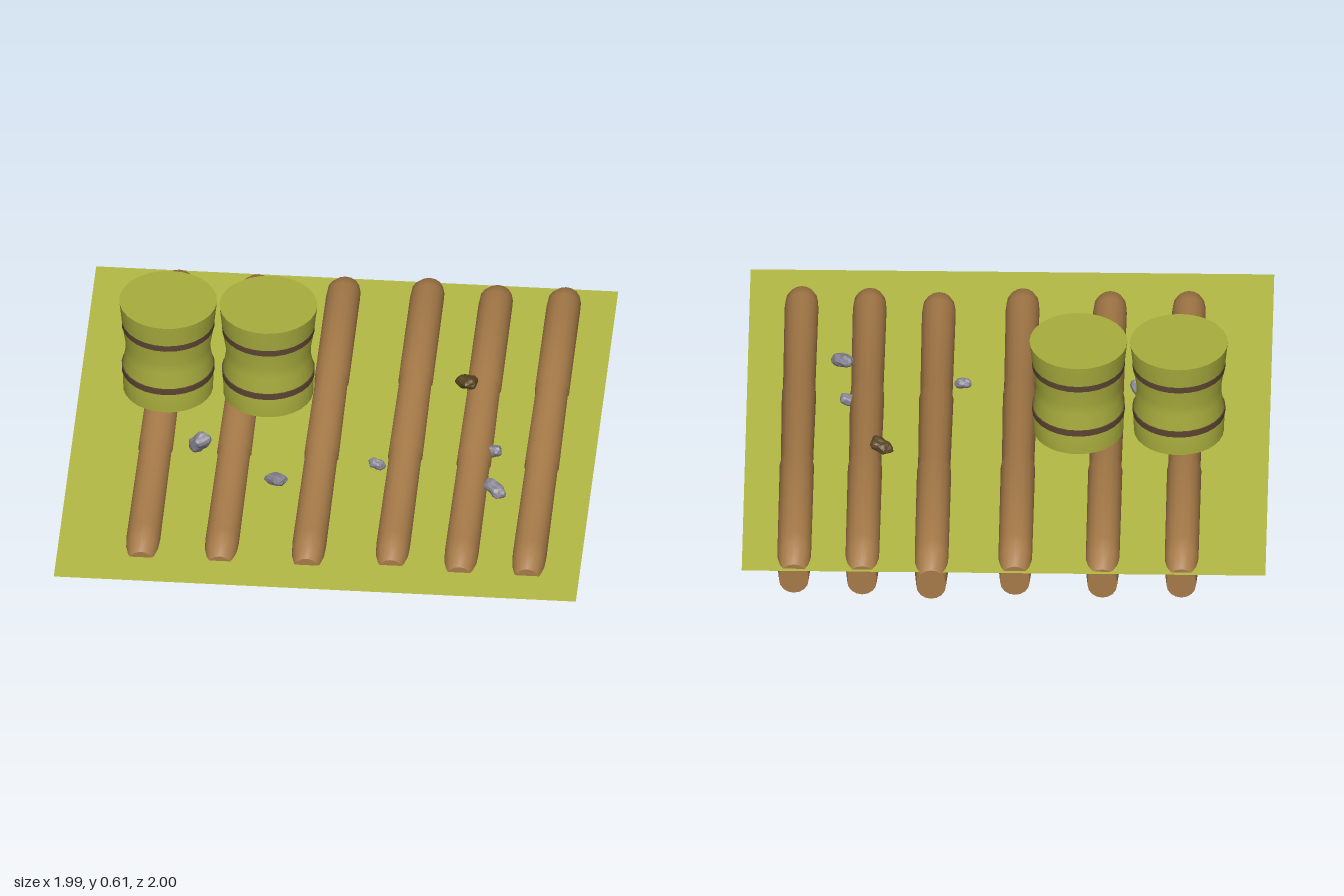
import * as THREE from 'three';
import { toCreasedNormals } from 'three/addons/utils/BufferGeometryUtils.js';

const mat = (color, extra = {}) => new THREE.MeshStandardMaterial({ color, ...extra });
const groundMat = mat(0xb4ba45, { side: THREE.DoubleSide });
const logMat = mat(0xa67a48);
const barrelMat = mat(0xa9ad3d);
const bandMat = mat(0x5c4533);
const stoneMat = mat(0x85838f, { flatShading: true });
const darkStoneMat = mat(0x57431f, { flatShading: true });

function part(name, geometry, material, parent) {
  const mesh = new THREE.Mesh(geometry, material);
  mesh.name = name;
  parent.add(mesh);
  return mesh;
}

// Log: tall rounded section lofted along z, with sloped ends and two slight joints
function logGeometry() {
  // z, half width, bottom, top
  const stations = [
    [0.85, 0.052, 0.016, 0.145], [0.79, 0.061, 0.014, 0.182], [0.73, 0.064, 0.013, 0.196],
    [0.175, 0.061, 0.014, 0.196], [0.165, 0.065, 0.010, 0.2],
    [-0.305, 0.061, 0.012, 0.197], [-0.315, 0.065, 0.008, 0.2],
    [-0.85, 0.064, 0.008, 0.198], [-0.9, 0.063, 0.007, 0.185], [-0.975, 0.056, 0.004, 0.135],
  ];
  const arc = 9, n = arc * 2, pos = [], idx = [];
  for (const [z, w, bottom, top] of stations) {
    const r = Math.min(w + 0.002, (top - bottom) / 2);
    for (let k = 0; k < n; k++) {
      const upper = k < arc;
      const a = Math.PI * (upper ? k / (arc - 1) : 1 + (k - arc) / (arc - 1));
      pos.push(w * Math.cos(a), (upper ? top - r : bottom + r) + r * Math.sin(a), z);
    }
  }
  for (let i = 0; i < stations.length - 1; i++) {
    for (let k = 0; k < n; k++) {
      const a = i * n + k, b = i * n + (k + 1) % n;
      idx.push(a, a + n, b, b, a + n, b + n);
    }
  }
  const last = (stations.length - 1) * n;
  for (let k = 1; k < n - 1; k++) {
    idx.push(0, k, k + 1, last, last + k + 1, last + k);
  }
  const g = new THREE.BufferGeometry();
  g.setAttribute('position', new THREE.Float32BufferAttribute(pos, 3));
  g.setIndex(idx);
  return toCreasedNormals(g, 0.55);
}

// Waisted barrel: body with closed ends and two flush bands
function makeBarrel(x, z) {
  const barrel = new THREE.Group();
  barrel.name = 'barrel';
  const profile = [
    [0, 0], [0.171, 0], [0.174, 0.1], [0.162, 0.175], [0.162, 0.215],
    [0.174, 0.29], [0.186, 0.405], [0, 0.405],
  ].map(([r, y]) => new THREE.Vector2(r, y));
  part('barrelBody', toCreasedNormals(new THREE.LatheGeometry(profile, 28), 0.4), barrelMat, barrel);
  for (const y of [0.098, 0.303]) {
    const band = part('barrelBand', new THREE.CylinderGeometry(0.177, 0.176, 0.026, 28), bandMat, barrel);
    band.position.y = y;
  }
  barrel.position.set(x, 0.2, z);
  return barrel;
}

// Stone: knobbly two-lobed lump, long along its own x
function stoneGeometry(seed) {
  const g = new THREE.IcosahedronGeometry(1, 2);
  const p = g.attributes.position, v = new THREE.Vector3();
  for (let i = 0; i < p.count; i++) {
    v.fromBufferAttribute(p, i);
    const bump = 1 + 0.1 * Math.sin(5 * v.x + seed) * Math.cos(4 * v.y - seed) + 0.08 * Math.sin(6 * v.z + 2 * seed);
    const pinch = 0.78 + 0.22 * Math.min(1, Math.abs(v.x + 0.1) * 2.5);
    p.setXYZ(i, v.x * bump, v.y * bump * pinch, v.z * bump * pinch);
  }
  g.computeVertexNormals();
  return g;
}

export function createModel() {
  const model = new THREE.Group();
  model.name = 'logPlatform';

  // Thin ground sheet running through the logs
  const ground = part('groundSheet', new THREE.PlaneGeometry(1.99, 1.99), groundMat, model);
  ground.rotation.x = -Math.PI / 2;
  ground.position.set(0, 0.12, 0.005);

  // Row of logs: x, y shift, z shift
  const logGeo = logGeometry();
  for (const [x, y, z] of [
    [-0.675, 0, 0], [-0.375, -0.004, 0], [-0.043, 0.005, 0],
    [0.275, 0, -0.024], [0.538, 0, 0], [0.797, 0.005, 0],
  ]) {
    part('log', logGeo, logMat, model).position.set(x, y, z);
  }

  // Pair of barrels
  for (const x of [-0.652, -0.27]) model.add(makeBarrel(x, -0.143));

  // Scattered stones: position, half sizes, turn about y, tilt, material
  [
    [[-0.508, 0.163, 0.155], [0.056, 0.034, 0.036], -0.45, 0.9, stoneMat],
    [[-0.2, 0.15, 0.352], [0.052, 0.025, 0.032], -0.75, 0.3, stoneMat],
    [[0.174, 0.149, 0.222], [0.033, 0.023, 0.023], -0.2, -0.2, stoneMat],
    [[0.613, 0.15, 0.105], [0.03, 0.025, 0.024], -0.2, 0.3, stoneMat],
    [[0.635, 0.158, 0.353], [0.051, 0.028, 0.032], -0.7, -0.3, stoneMat],
    [[0.478, 0.198, -0.263], [0.047, 0.028, 0.035], -0.6, 0.25, darkStoneMat],
  ].forEach(([pos, size, turn, tilt, material], i) => {
    const stone = part('stone', stoneGeometry(i * 1.7 + 1), material, model);
    stone.position.set(...pos);
    stone.scale.set(...size);
    stone.rotation.set(0, turn, tilt);
  });

  return model;
}
